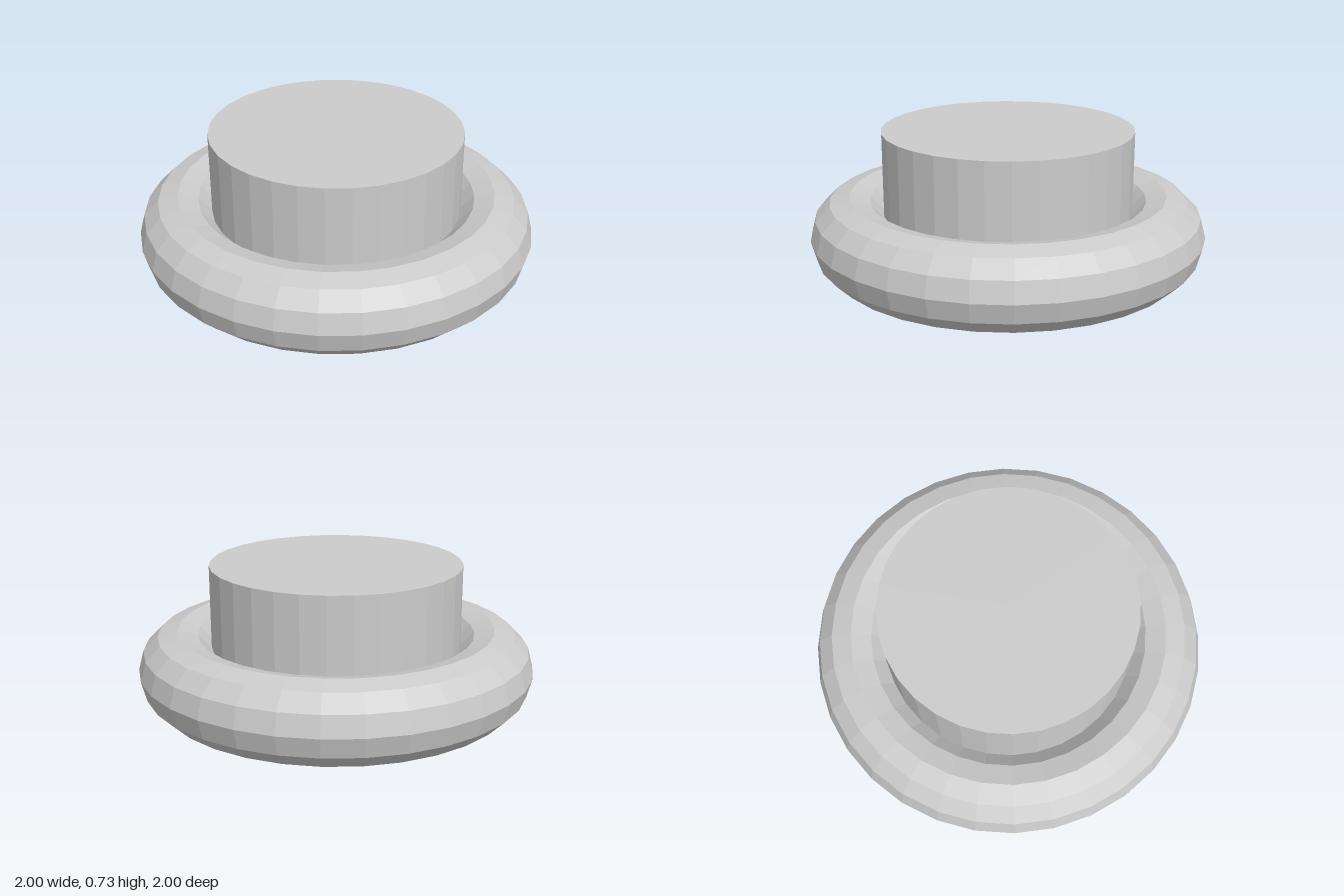
import * as THREE from 'three';

export function createModel() {
  const model = new THREE.Group();
  const material = new THREE.MeshStandardMaterial({ color: 0xcccccc, flatShading: true });

  const add = (name, geometry, y) => {
    const mesh = new THREE.Mesh(geometry, material);
    mesh.name = name;
    mesh.position.y = y;
    model.add(mesh);
  };

  // Faceted ring lying flat on the ground
  const tube = 0.2;
  add('baseRing', new THREE.TorusGeometry(0.8, tube, 12, 32).rotateX(Math.PI / 2), tube);

  // Solid plug rising from the middle plane of the ring
  const bottom = tube, top = 0.726;
  add('plug', new THREE.CylinderGeometry(0.633, 0.633, top - bottom, 32), (top + bottom) / 2);

  return model;
}
